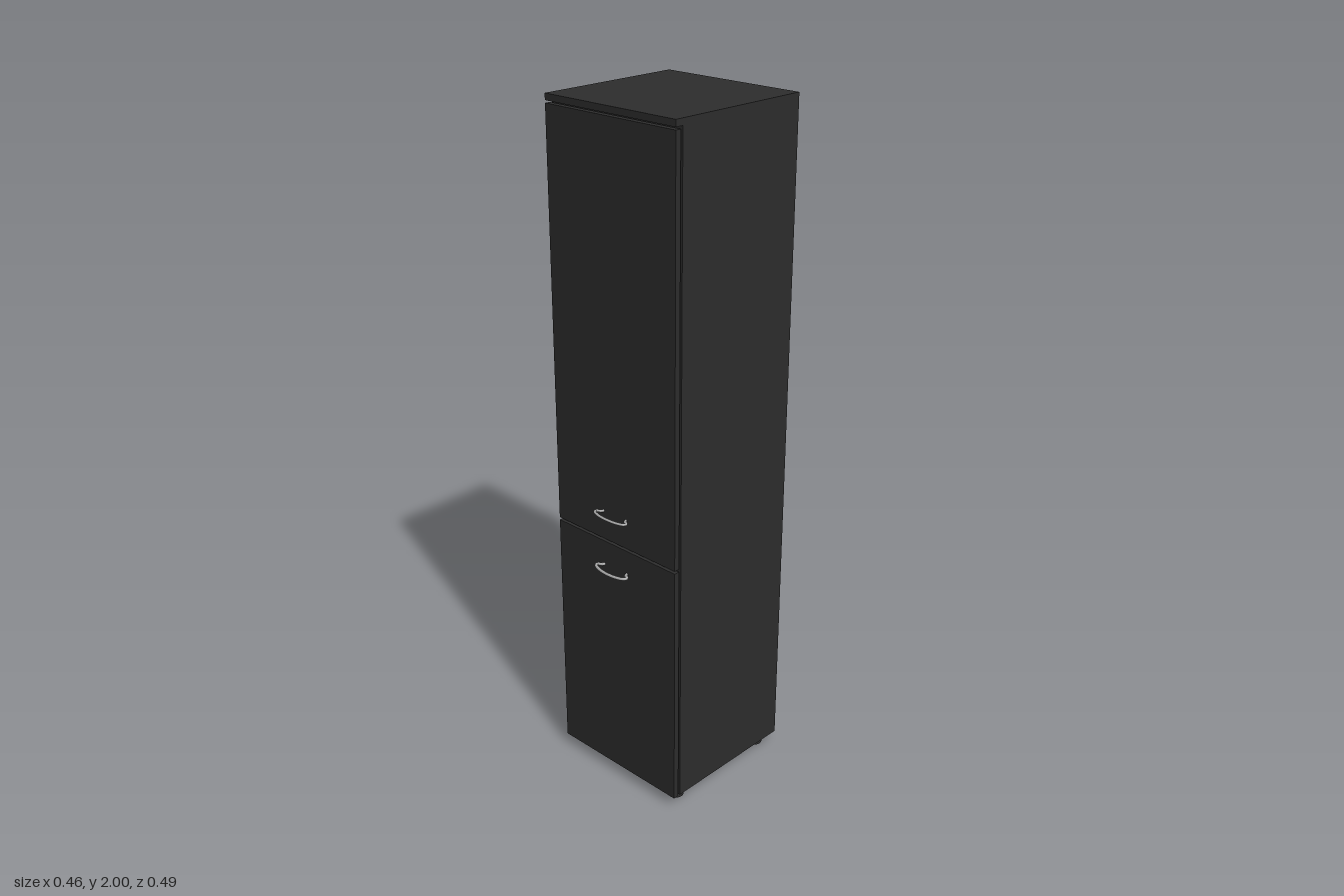
import * as THREE from 'three';

export function createModel() {
  const group = new THREE.Group();
  const black = new THREE.MeshStandardMaterial({ color: 0x2d2d2d });
  black.name = 'charcoal enamel';
  const metal = new THREE.MeshStandardMaterial({ color: 0xa8a8a8 });
  metal.name = 'brushed metal';

  const W = 0.456;
  // Box given by its vertical and depth ranges
  function box(name, y0, y1, z0, z1) {
    const mesh = new THREE.Mesh(new THREE.BoxGeometry(W, y1 - y0, z1 - z0), black);
    mesh.position.set(0, (y0 + y1) / 2, (z0 + z1) / 2);
    mesh.name = name;
    group.add(mesh);
  }

  // Cabinet, top fascia and the two doors standing just off the body
  box('cabinet', 0.037, 2, -0.247, 0.183);
  box('topFascia', 1.982, 2, 0.183, 0.207);
  box('upperDoor', 0.794, 1.975, 0.19, 0.207);
  box('lowerDoor', 0.037, 0.786, 0.19, 0.207);

  // Bow handles: ends tuck in towards the door
  function handle(name, y, droop, radius) {
    const half = [[0.044, 0.204], [0.046, 0.213], [0.059, 0.221], [0.056, 0.229], [0.035, 0.237]];
    const side = (s) => half.map(([x, z], i) =>
      new THREE.Vector3(s * x, y - droop * Math.max(0, i - 2) / 3, z));
    const path = new THREE.CatmullRomCurve3([
      ...side(-1), new THREE.Vector3(0, y - droop, 0.24), ...side(1).reverse(),
    ]);
    const mesh = new THREE.Mesh(new THREE.TubeGeometry(path, 48, radius, 10), metal);
    mesh.name = name;
    group.add(mesh);
  }
  handle('upperHandle', 0.881, 0, 0.004);
  handle('lowerHandle', 0.712, 0.003, 0.0045);

  // Four round feet
  for (const x of [-0.18, 0.18]) {
    for (const z of [-0.205, 0.15]) {
      const foot = new THREE.Mesh(new THREE.CylinderGeometry(0.024, 0.024, 0.04, 24), black);
      foot.position.set(x, 0.02, z);
      foot.name = 'foot';
      group.add(foot);
    }
  }
  return group;
}
